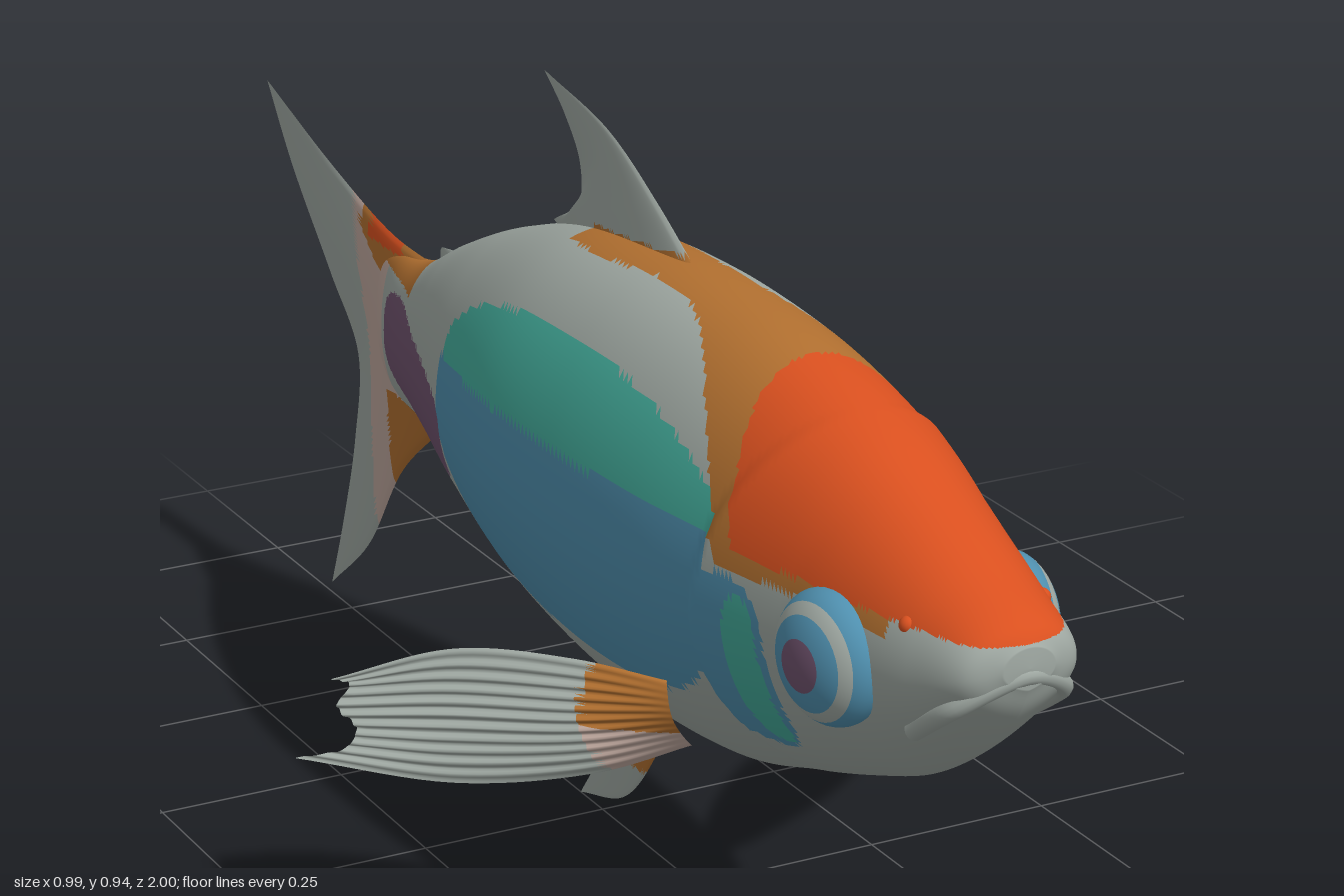
import * as THREE from 'three';

const V = (x, y, z) => new THREE.Vector3(x, y, z);
const mat = (name, color) => Object.assign(new THREE.MeshStandardMaterial({ color }), { name });

// Palette: the index is used by the paint rules
const GREY = 0, ORANGE = 1, BROWN = 2, TEAL = 3, BLUE = 4, PURPLE = 5, PINK = 6;
const M = [
  mat('silver grey', 0xa0a9a3), mat('bright orange', 0xd9501f), mat('bronze', 0xb27030),
  mat('teal', 0x44ac9b), mat('blue', 0x4f8fae), mat('plum', 0x70536e), mat('pale pink', 0xbfa89e),
];

// Inside a (super)ellipse in the side plane
const oval = (z, y, cz, cy, rz, ry, p = 2) => Math.abs((z - cz) / rz) ** p + Math.abs((y - cy) / ry) ** p < 1;

// Paint rules: the colour at a point of the side plane
function bodyPaint(z, y) {
  const seam = .59 + .03 * z;
  const back = z > .22 ? .797 - 4.5 * (z - .22) ** 3 : .797 - .09 * (.22 - z);
  if (y > .605 && z > .6 - .5 * (y - .62)) return ORANGE; // forehead
  if (z > 0 && z < .86 && y > Math.max(.585, back)) return BROWN; // nape
  if (oval(z, y, .625, .46, .028, .095, 3)) return TEAL; // cheek
  if (oval(z, y, .6, .465, .066, .11, 3)) return BLUE;
  if (y > seam && oval(z, y, .2, .595, .375, .125)) return TEAL; // flank
  if (oval(z, y + .05 * (z + .365), -.365, .475, .195, .068, 4)) return PURPLE;
  if (y <= seam && oval(z, y, .19, .595, .375, .255, 3)) return BLUE;
  if (z > -.43 && y < Math.min(.385, .285 - .3 * (z - .05))) return ORANGE; // belly
  if (z < -.45 && (y > .56 || y < .38)) return BROWN; // tail root
  return z < -.58 ? PINK : GREY;
}
function tailPaint(z, y) {
  if (y > .575 && z > -.66 && z < -.56) return ORANGE;
  if (z > -.69 && y > .51 + .6 * Math.abs(z + .57)) return BROWN;
  if (z > -.6 && y < .38) return BROWN;
  return z > -.66 - .3 * Math.max(0, y - .42) ? PINK : GREY;
}
const dorsalPaint = (z, y) => z > 0 && y < .79 + .1 * z ? BROWN : GREY;
function pelvicPaint(z, y) {
  if (y > .1 && z > .09 - .3 * (y - .1)) return BROWN;
  return z > 0 && y > .15 ? PINK : GREY;
}
function pectoralPaint(z, y) {
  if (z < .36) return GREY;
  return y > .305 ? BROWN : PINK;
}

// Builds a mesh whose triangles are grouped by the colour the rule gives them
function paintedMesh(name, pos, tris, paint) {
  const bins = M.map(() => []);
  for (const t of tris) {
    const c = V(0, 0, 0);
    t.forEach(i => c.addScaledVector(pos[i], 1 / 3));
    bins[paint(c.z, c.y)].push(...t);
  }
  const g = new THREE.BufferGeometry().setFromPoints(pos);
  g.setIndex(bins.flat());
  let start = 0;
  bins.forEach((b, i) => {
    if (b.length) g.addGroup(start, b.length, i);
    start += b.length;
  });
  g.computeVertexNormals();
  const mesh = new THREE.Mesh(g, M);
  mesh.name = name;
  return mesh;
}

// Body: rings lofted along stations of [z, top, bottom, half width]
function body() {
  const stations = [
    [.995, .6, .555, .03], [.97, .625, .51, .075], [.9, .657, .44, .1], [.8, .7, .375, .122],
    [.68, .748, .325, .143], [.55, .78, .28, .163], [.4, .8, .235, .18], [.2, .805, .22, .186],
    [0, .785, .245, .177], [-.2, .725, .295, .137], [-.35, .66, .335, .095],
    [-.47, .598, .36, .058], [-.56, .58, .365, .034], [-.64, .56, .38, .008],
  ];
  const upper = new THREE.CatmullRomCurve3(stations.map(s => V(s[3], s[1], s[0])), false, 'catmullrom');
  const lower = new THREE.CatmullRomCurve3(stations.map(s => V(0, s[2], s[0])), false, 'catmullrom');
  const N = 260, R = 120, pos = [], tris = [];
  for (let i = 0; i <= N; i++) {
    const a = upper.getPoint(i / N), b = lower.getPoint(i / N);
    const k = i === 0 || i === N ? 0 : 1; // the end rings close to a point
    const cy = (a.y + b.y) / 2, h = k * (a.y - b.y) / 2;
    for (let j = 0; j < R; j++) {
      const t = j / R * Math.PI * 2, c = Math.cos(t), s = Math.sin(t);
      const y = cy + h * s;
      // Gill cover flares out, then steps back down behind its curved edge
      const d = a.z - (.53 + 1.3 * (y - .48) ** 2);
      const flare = d > 0 ? Math.max(0, 1 - d / .16) * Math.min(1, d / .012) * .012 : 0;
      const x = k * (a.x * Math.abs(c) ** (s < 0 ? 1.5 : 1) + flare * Math.abs(c)) * Math.sign(c);
      pos.push(V(x, y, a.z));
      if (i < N) {
        const p = i * R + j, q = i * R + (j + 1) % R;
        tris.push([p, p + R, q], [q, p + R, q + R]);
      }
    }
  }
  return paintedMesh('body', pos, tris, bodyPaint);
}

// Fin: rays run from the root curve through the middle curves to the tip curve
function fin(name, curves, thick, paint, normal = V(1, 0, 0), ribs = 0) {
  const NU = 28, NV = 64, pos = [], tris = [];
  const cs = curves.map(c => new THREE.CatmullRomCurve3(c));
  const rows = [];
  for (let v = 0; v <= NV; v++) {
    const ray = new THREE.CatmullRomCurve3(cs.map(c => c.getPoint(v / NV)));
    rows.push(Array.from({ length: NU + 1 }, (_, u) => ray.getPoint(u / NU)));
  }
  const mid = rows[NV / 2][NU / 2];
  const du = rows[NV / 2][NU / 2 + 1].clone().sub(mid), dv = rows[NV / 2 + 1][NU / 2].clone().sub(mid);
  const flip = du.cross(dv).dot(normal) < 0;
  for (const side of [1, -1]) {
    const o = pos.length;
    for (let v = 0; v <= NV; v++) for (let u = 0; u <= NU; u++) {
      const f = u / NU, lens = Math.sqrt(Math.max(0, Math.sin(Math.PI * v / NV)));
      const ripple = ribs * Math.sin(v / NV * Math.PI * 22) * Math.min(1, f * 3);
      pos.push(rows[v][u].clone().addScaledVector(normal, lens * (side * thick * (1 - f) + ripple)));
      if (v < NV && u < NU) {
        const p = o + v * (NU + 1) + u, q = p + NU + 1;
        const quad = [[p, p + 1, q], [q, p + 1, q + 1]];
        tris.push(...((side < 0) !== flip ? quad.map(t => [t[0], t[2], t[1]]) : quad));
      }
    }
  }
  return paintedMesh(name, pos, tris, paint);
}
// Curves of a fin lying in the middle plane, given as (z, y) points
const flat = curves => curves.map(c => c.map(([z, y]) => V(0, y, z)));

// Eye: a flattened dome made of coloured rings, its pole facing sideways
function eye(s) {
  const g = new THREE.Group();
  g.name = s > 0 ? 'leftEye' : 'rightEye';
  const bands = [[0, .4, PURPLE, 'pupil'], [.4, .78, BLUE, 'iris'], [.78, 1.05, GREY, 'eyeRing'], [1.05, 1.75, BLUE, 'eyeRim']];
  for (const [a, b, m, name] of bands) {
    const dome = new THREE.Mesh(new THREE.SphereGeometry(.08, 40, 10, 0, Math.PI * 2, a, b - a), M[m]);
    dome.name = name;
    dome.scale.y = .62;
    dome.rotation.z = -s * Math.PI / 2;
    g.add(dome);
  }
  g.position.set(s * .117, .53, .77);
  g.rotation.y = -s * .15;
  return g;
}

export function createModel() {
  const fish = new THREE.Group();
  fish.name = 'fish';
  fish.add(body());

  fish.add(fin('tailFin', flat([
    [[-.46, .59], [-.5, .48], [-.45, .37]],
    [[-.6, .595], [-.6, .46], [-.58, .265]],
    [[-.78, .635], [-.745, .55], [-.67, .42], [-.67, .27], [-.69, .12]],
    [[-.998, .7], [-.92, .6], [-.8, .48], [-.715, .39], [-.73, .26], [-.775, .12], [-.815, .018]],
  ]), .022, tailPaint));
  fish.add(fin('dorsalFin', flat([
    [[.26, .785], [.1, .76], [-.1, .73]],
    [[.14, .855], [.03, .81], [-.1, .745]],
    [[.02, .91], [-.01, .85], [-.115, .75]],
    [[-.155, .942], [-.1, .9], [-.06, .85], [-.06, .8], [-.13, .755]],
  ]), .018, dorsalPaint));
  fish.add(fin('pelvicFin', flat([
    [[.2, .24], [.1, .25], [0, .26]],
    [[.14, .13], [.09, .15], [0, .23]],
    [[.06, .045], [.03, .1], [0, .215]],
    [[-.06, .003], [-.02, .06], [0, .13], [-.005, .205]],
  ]), .012, pelvicPaint));
  fish.add(fin('analFin', flat([
    [[-.08, .285], [-.2, .31], [-.37, .355]],
    [[-.2, .28], [-.28, .3], [-.39, .345]],
    [[-.4, .31], [-.415, .325], [-.4, .345]],
  ]), .012, () => ORANGE));
  fish.add(fin('backNub', flat([
    [[-.37, .635], [-.4, .62], [-.44, .6]],
    [[-.45, .622], [-.455, .615], [-.455, .605]],
  ]), .008, () => GREY));

  for (const s of [1, -1]) {
    const side = s > 0 ? 'left' : 'right';
    // Pectoral fin, ribbed and swept back, with a ragged tip
    fish.add(fin(side + 'PectoralFin', [
      [[.14, .375, .43], [.13, .33, .43], [.1, .28, .42]],
      [[.22, .385, .34], [.22, .31, .35], [.19, .235, .35]],
      [[.33, .385, .25], [.34, .3, .25], [.33, .215, .26]],
      [[.455, .342, .175], [.435, .335, .185], [.45, .308, .18], [.43, .28, .19], [.44, .255, .185], [.495, .24, .155]],
    ].map(c => c.map(([x, y, z]) => V(s * x, y, z))), .012, pectoralPaint, V(s * .64, 0, .77), .004));
    fish.add(eye(s));

    const nostril = new THREE.Mesh(new THREE.SphereGeometry(.011, 16, 12), M[ORANGE]);
    nostril.name = side + 'Nostril';
    nostril.position.set(s * .085, .603, .88);
    fish.add(nostril);
  }

  // Downturned lip around the snout
  const lipPath = new THREE.CatmullRomCurve3([
    V(-.075, .475, .88), V(-.068, .53, .955), V(0, .567, .986), V(.068, .53, .955), V(.075, .475, .88),
  ]);
  const lip = new THREE.Mesh(new THREE.TubeGeometry(lipPath, 48, .012, 12), M[GREY]);
  lip.name = 'lip';
  fish.add(lip);
  return fish;
}
